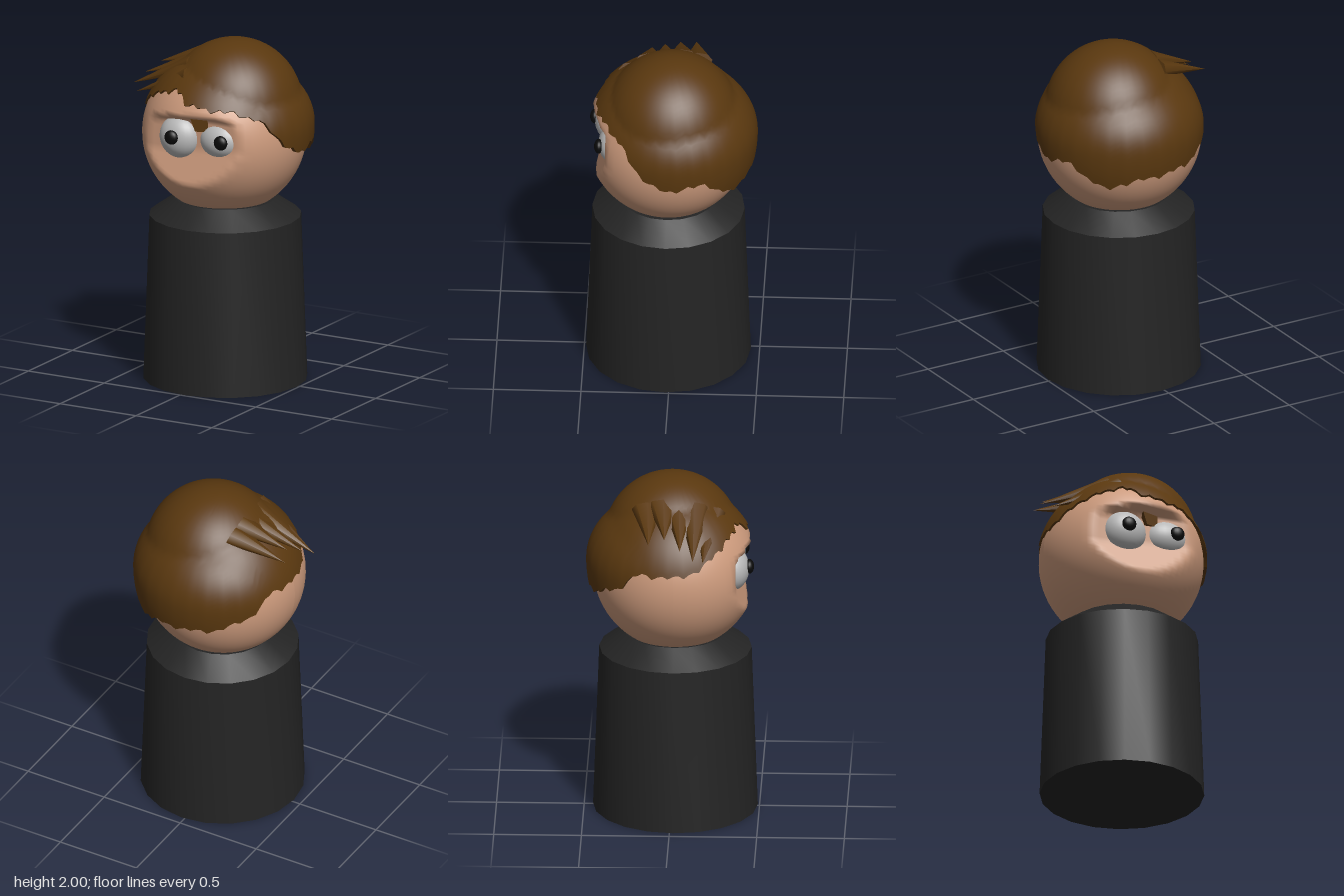
import * as THREE from 'three';
import { mergeVertices, toCreasedNormals } from 'three/addons/utils/BufferGeometryUtils.js';

const mat = (color, side = THREE.FrontSide) => new THREE.MeshStandardMaterial({ color, side });
const skin = mat(0xcc9a7c), cloth = mat(0x242424), white = mat(0xb8b8b8), black = mat(0x0a0a0a);
const hairMat = mat(0x5a380f, THREE.DoubleSide);

const HEAD = new THREE.Vector3(0.015, 1.45, 0.02), HEAD_R = 0.47;

// Piecewise linear lookup in [[x, y], ...]
function lerpTable(table, x) {
  for (let i = 1; i < table.length; i++) {
    const [x0, y0] = table[i - 1], [x1, y1] = table[i];
    if (x <= x1) return y0 + (y1 - y0) * Math.max(0, (x - x0) / (x1 - x0));
  }
  return table[table.length - 1][1];
}

function addMesh(group, name, geometry, material) {
  const mesh = new THREE.Mesh(geometry, material);
  mesh.name = name;
  group.add(mesh);
  return mesh;
}

// Ball with a shallow hollow pressed into the front for the face
function headGeometry() {
  const geo = new THREE.SphereGeometry(HEAD_R, 64, 64).translate(HEAD.x, HEAD.y, HEAD.z);
  const hollow = [[1.19, 0.45], [1.22, 0.435], [1.42, 0.37], [1.6, 0.37], [1.635, 0.46], [1.66, 0.6]];
  const p = geo.attributes.position;
  for (let i = 0; i < p.count; i++) {
    const y = p.getY(i) - 0.08 * p.getX(i);
    if (y > 1.19) p.setZ(i, Math.min(p.getZ(i), lerpTable(hollow, y)));
  }
  geo.computeVertexNormals();
  return geo;
}

// Height of the hairline by angle, from the front round past the model's left
const hairline = [
  [0, 1.7], [20, 1.69], [40, 1.67], [55, 1.63], [65, 1.55], [78, 1.44], [90, 1.39], [105, 1.42],
  [117, 1.42], [127, 1.36], [140, 1.29], [150, 1.33], [165, 1.35], [180, 1.36], [200, 1.37],
  [215, 1.41], [230, 1.46], [245, 1.57], [270, 1.56], [290, 1.6], [305, 1.68], [325, 1.73],
  [340, 1.77], [350, 1.74], [360, 1.7],
];

// Hair volume: a crown ball joined to a wider lower mass, never inside the scalp
function inHair(v) {
  const crown = Math.hypot(v.x - 0.07, v.y - 1.61, v.z) < 0.39;
  const ry = v.y > 1.5 ? 0.38 : 0.6;
  const lower = Math.hypot((v.x - 0.035) / 0.483, (v.y - 1.5) / ry, (v.z + 0.01) / 0.48) < 1;
  return crown || lower || v.distanceTo(HEAD) < HEAD_R + 0.012;
}

function hairPoint(theta, phi) {
  const dir = new THREE.Vector3(
    Math.sin(theta) * Math.cos(phi), Math.sin(phi), Math.cos(theta) * Math.cos(phi));
  let lo = 0.3, hi = 0.7;
  for (let k = 0; k < 18; k++) {
    const mid = (lo + hi) / 2;
    if (inHair(dir.clone().multiplyScalar(mid).add(HEAD))) lo = mid; else hi = mid;
  }
  return dir.multiplyScalar(lo).add(HEAD);
}

function hairGeometry() {
  const cols = 96, rows = 28, pos = [], index = [];
  for (let i = 0; i < cols; i++) {
    const theta = (i / cols) * Math.PI * 2;
    const jag = 0.012 * Math.sin(i * 2.1) + 0.008 * Math.sin(i * 0.9);
    const edge = Math.asin((lerpTable(hairline, (i / cols) * 360) + jag - HEAD.y) / 0.485);
    for (let j = 0; j <= rows; j++) {
      const phi = Math.PI / 2 + (edge - Math.PI / 2) * (j / rows);
      pos.push(...hairPoint(theta, phi).toArray());
    }
    // Last ring tucks under into the scalp
    const rim = hairPoint(theta, edge).sub(HEAD).setLength(0.44).add(HEAD);
    pos.push(...rim.toArray());
  }
  const n = rows + 2;
  for (let i = 0; i < cols; i++) {
    for (let j = 0; j < n - 1; j++) {
      const a = i * n + j, c = ((i + 1) % cols) * n + j;
      if (j > 0) index.push(a, a + 1, c);
      index.push(c, a + 1, c + 1);
    }
  }
  const geo = new THREE.BufferGeometry();
  geo.setAttribute('position', new THREE.Float32BufferAttribute(pos, 3));
  geo.setIndex(index);
  const merged = mergeVertices(geo, 1e-4);
  merged.computeVertexNormals();
  return toCreasedNormals(merged, 0.7);
}

// Flattened pointed lock running from its root to its tip
function addSpike(group, root, tip, radius) {
  const a = new THREE.Vector3(...root), b = new THREE.Vector3(...tip);
  const geo = new THREE.ConeGeometry(radius, a.distanceTo(b), 8);
  geo.scale(0.6, 1, 1);
  const spike = addMesh(group, 'hairSpike', geo, hairMat);
  spike.position.copy(a).add(b).multiplyScalar(0.5);
  spike.quaternion.setFromUnitVectors(new THREE.Vector3(0, 1, 0), b.sub(a).normalize());
}

function addEye(group, name, center, radii, pupil) {
  const eye = new THREE.Group();
  eye.name = name;
  const ball = addMesh(eye, 'eyeball', new THREE.SphereGeometry(1, 28, 20), white);
  ball.scale.set(...radii);
  ball.position.set(...center);
  const dot = addMesh(eye, 'pupil', new THREE.SphereGeometry(0.042, 18, 14), black);
  dot.scale.z = 0.65;
  dot.position.set(...pupil);
  group.add(eye);
}

export function createModel() {
  const model = new THREE.Group();
  model.name = 'figure';

  // Tapered peg body with sloped shoulders
  const profile = [[0, 0], [0.47, 0], [0.435, 0.965], [0.29, 1.065], [0, 1.065]]
    .map(([x, y]) => new THREE.Vector2(x, y));
  const body = addMesh(model, 'body', toCreasedNormals(new THREE.LatheGeometry(profile, 20), 0.5), cloth);
  body.position.set(0.02, 0, 0.02);

  addMesh(model, 'head', headGeometry(), skin);

  // Eyes
  addEye(model, 'rightEye', [-0.085, 1.485, 0.345], [0.127, 0.127, 0.1], [-0.09, 1.5, 0.445]);
  addEye(model, 'leftEye', [0.168, 1.49, 0.315], [0.132, 0.11, 0.1], [0.215, 1.5, 0.41]);

  // Slanted brow over the left eye
  const brow = new THREE.Shape([[0, 1.62], [0.03, 1.54], [0.07, 1.54], [0.3, 1.54], [0.36, 1.655]]
    .map(([x, y]) => new THREE.Vector2(x, y)));
  const browMesh = addMesh(model, 'brow',
    new THREE.ExtrudeGeometry(brow, { depth: 0.06, bevelEnabled: false }), hairMat);
  browMesh.rotation.y = 0.31;
  browMesh.position.set(-0.01, 0, 0.345);

  // Hair cap and the swept spikes on the right side
  const hair = new THREE.Group();
  hair.name = 'hair';
  addMesh(hair, 'hairCap', hairGeometry(), hairMat);
  addSpike(hair, [-0.14, 1.86, -0.14], [-0.47, 1.77, -0.12], 0.085);
  addSpike(hair, [-0.14, 1.88, -0.05], [-0.435, 1.79, -0.03], 0.085);
  addSpike(hair, [-0.12, 1.87, 0.04], [-0.485, 1.74, 0.06], 0.085);
  addSpike(hair, [-0.12, 1.86, 0.13], [-0.52, 1.69, 0.135], 0.09);
  addSpike(hair, [-0.08, 1.82, 0.22], [-0.465, 1.66, 0.19], 0.09);
  model.add(hair);

  return model;
}
